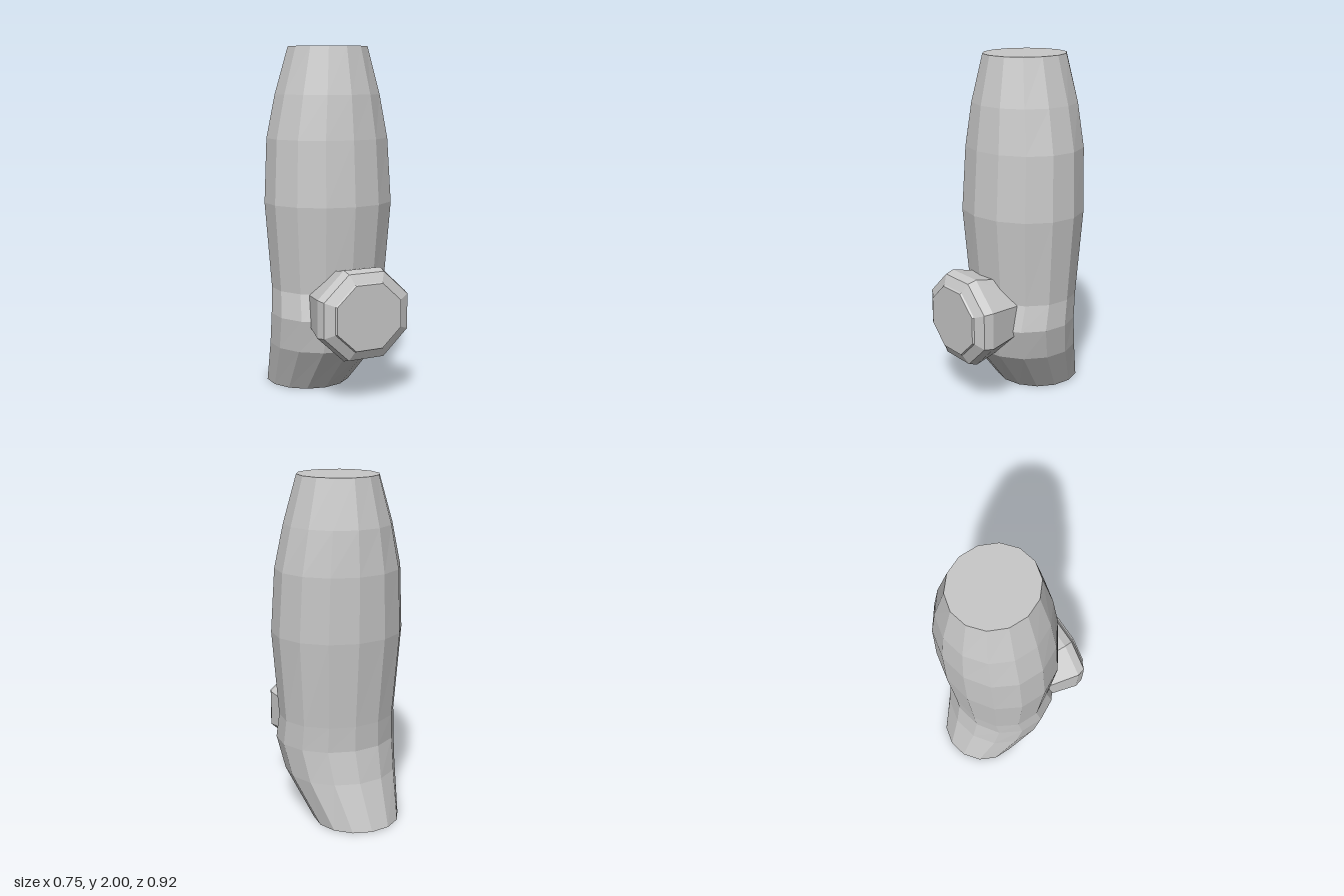
import * as THREE from 'three';

// Skin a list of rings (each an array of Vector3, counter-clockwise about the
// direction of travel) and close both ends with flat caps.
function loft(rings) {
  const pos = [];
  const tri = (...pts) => pts.forEach((p) => pos.push(p.x, p.y, p.z));
  const n = rings[0].length;
  for (let r = 0; r < rings.length - 1; r++) {
    for (let i = 0; i < n; i++) {
      const j = (i + 1) % n;
      const a = rings[r][i], b = rings[r][j], c = rings[r + 1][j], d = rings[r + 1][i];
      tri(a, b, c);
      tri(a, c, d);
    }
  }
  const first = rings[0], last = rings[rings.length - 1];
  for (let i = 1; i < n - 1; i++) {
    tri(first[0], first[i + 1], first[i]);
    tri(last[0], last[i], last[i + 1]);
  }
  const geometry = new THREE.BufferGeometry();
  geometry.setAttribute('position', new THREE.Float32BufferAttribute(pos, 3));
  geometry.computeVertexNormals();
  return geometry;
}

export function createModel() {
  const model = new THREE.Group();
  const grey = new THREE.MeshStandardMaterial({ color: 0xc8c8c8, flatShading: true });
  grey.name = 'plain grey';

  const add = (name, rings) => {
    const mesh = new THREE.Mesh(loft(rings), grey);
    mesh.name = name;
    model.add(mesh);
  };

  // Bent fourteen-sided trunk: height, left and right x, front and back z
  const trunk = [
    [0, -0.307, 0.185, 0.035, -0.46],
    [0.27, -0.342, 0.305, 0.245, -0.375],
    [0.46, -0.35, 0.345, 0.295, -0.34],
    [0.61, -0.337, 0.335, 0.25, -0.347],
    [1.11, -0.375, 0.372, 0.295, -0.39],
    [1.48, -0.355, 0.352, 0.272, -0.393],
    [1.73, -0.302, 0.3, 0.242, -0.37],
    [2, -0.225, 0.225, 0.182, -0.31],
  ];
  const sides = 14;
  const widest = Math.cos(Math.PI / sides);
  add('trunk', trunk.map(([y, x0, x1, front, back]) =>
    Array.from({ length: sides }, (_, i) => {
      const t = (i / sides) * Math.PI * 2;
      return new THREE.Vector3(
        (x0 + x1) / 2 + ((x1 - x0) / 2 / widest) * Math.sin(t * 1),
        y,
        (front + back) / 2 + ((front - back) / 2) * Math.cos(t),
      );
    })));

  // Octagonal knob on the front: z, half width, half height
  const knob = [
    [0.08, 0.208, 0.193],
    [0.37, 0.277, 0.258],
    [0.422, 0.263, 0.243],
    [0.45, 0.206, 0.19],
    [0.46, 0.2, 0.184],
  ];
  const corner = 1 / Math.cos(Math.PI / 8);
  add('knob', knob.map(([z, w, h]) =>
    Array.from({ length: 8 }, (_, i) => {
      const t = ((i + 0.5) / 8) * Math.PI * 2;
      return new THREE.Vector3(w * corner * Math.cos(t), 0.518 + h * corner * Math.sin(t), z);
    })));

  return model;
}
